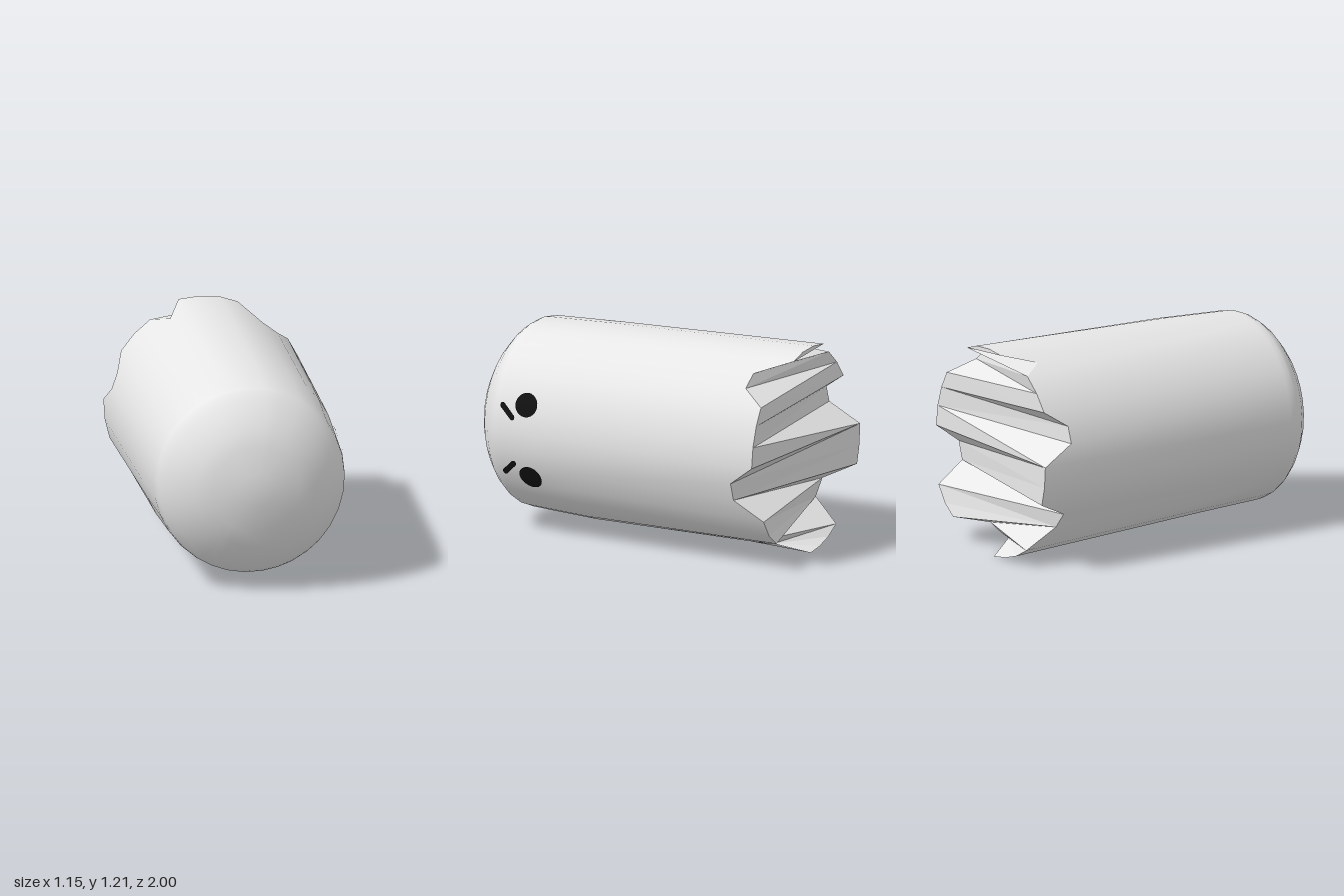
import * as THREE from 'three';

const CY = 0.615; // height of the body axis, which runs along z

// Ragged hem, counter-clockwise from the model's left: [angle in degrees, radius, z]
const HEM = [
  [1, 0.575, -0.945], [13, 0.575, -0.945], [25, 0.577, -0.945], [36, 0.58, -0.945],
  [47, 0.57, -0.8], [58, 0.57, -0.8],
  [71, 0.587, -1], [81, 0.594, -1], [93, 0.596, -1], [104, 0.6, -1],
  [113, 0.572, -0.8],
  [123, 0.582, -0.935], [135, 0.578, -0.935], [147, 0.575, -0.935],
  [157, 0.57, -0.8], [167, 0.572, -0.8],
  [178, 0.575, -0.99], [190, 0.575, -0.99], [201, 0.578, -0.99],
  [212, 0.565, -0.8], [224, 0.562, -0.8],
  [236, 0.622, -0.965], [246, 0.622, -0.968], [256, 0.618, -0.972], [266, 0.616, -0.975],
  [277, 0.562, -0.8], [287, 0.56, -0.8], [296, 0.562, -0.8],
  [307, 0.59, -0.98], [317, 0.598, -0.98], [328, 0.59, -0.98],
  [339, 0.565, -0.8], [350, 0.57, -0.8],
];

// Rounded nose and upper body: [z, radius]
const PROFILE = [
  [1, 0], [0.995, 0.1], [0.968, 0.25], [0.93, 0.34], [0.88, 0.42], [0.82, 0.49],
  [0.775, 0.525], [0.75, 0.537], [0.71, 0.543], [0.3, 0.561],
];

const N = HEM.length;

function bufferGeometry(positions, index) {
  const g = new THREE.BufferGeometry();
  g.setAttribute('position', new THREE.Float32BufferAttribute(positions, 3));
  g.setIndex(index);
  return g;
}

const polar = (deg, r, z, dx = 0) => {
  const a = THREE.MathUtils.degToRad(deg);
  return [dx + r * Math.cos(a), CY + r * Math.sin(a), z];
};

// Smooth outer skin: profile rings, then the ragged hem ring
function skinGeometry() {
  const pos = [], index = [];
  PROFILE.forEach(([z, r]) => HEM.forEach(([a]) => pos.push(...polar(a, r, z, z > 0.5 ? -0.005 : 0))));
  HEM.forEach(([a, r, z]) => pos.push(...polar(a, r, z)));
  for (let i = 0; i < PROFILE.length; i++) {
    for (let j = 0; j < N; j++) {
      const k = (j + 1) % N;
      const a = i * N + j, b = a + N, c = (i + 1) * N + k, d = i * N + k;
      index.push(a, b, c);
      if (i > 0) index.push(a, c, d);
    }
  }
  const g = bufferGeometry(pos, index);
  g.computeVertexNormals();
  // share one normal at the nose tip
  for (let j = 0; j < N; j++) g.attributes.normal.setXYZ(j, 0, 0, 1);
  return g;
}

// Closed underside: strips zipped between the two sides of the hem, from top to bottom
function undersideGeometry() {
  const points = HEM.map(([a, r, z]) => polar(a, r, z));
  const top = HEM.findIndex(h => h[0] === 93), bottom = HEM.findIndex(h => h[0] === 266);
  const sideA = [], sideB = [], index = [];
  for (let i = top; ; i = (i + N - 1) % N) { sideA.push(i); if (i === bottom) break; }
  for (let i = top; i <= bottom; i++) sideB.push(i);
  let a = 0, b = 0;
  while (a < sideA.length - 1 || b < sideB.length - 1) {
    const nextA = a < sideA.length - 1 ? points[sideA[a + 1]][1] : -Infinity;
    const nextB = b < sideB.length - 1 ? points[sideB[b + 1]][1] : -Infinity;
    const tri = nextA >= nextB
      ? [sideA[a], sideA[++a], sideB[b]]
      : [sideA[a], sideB[b + 1], sideB[b++]];
    if (new Set(tri).size === 3) index.push(...tri);
  }
  const g = bufferGeometry(points.flat(), index).toNonIndexed();
  g.computeVertexNormals();
  return g;
}

function radiusAt(z) {
  for (let i = 1; i < PROFILE.length; i++) {
    const [z0, r0] = PROFILE[i - 1], [z1, r1] = PROFILE[i];
    if (z >= z1) return r0 + (r1 - r0) * (z - z0) / (z1 - z0);
  }
  return 0.561;
}

// Wrap a flat outline (x, y) onto the +x side of the body around (z, y)
function wrapOnSide(g, z0, y0) {
  const p = g.attributes.position;
  for (let i = 0; i < p.count; i++) {
    const z = z0 - p.getX(i), y = y0 + p.getY(i);
    const r = radiusAt(z) + 0.004;
    p.setXYZ(i, Math.sqrt(r * r - (y - CY) ** 2), y, z);
  }
  g.computeVertexNormals();
  return g;
}

function browGeometry(tilt) {
  const h = 0.046, r = 0.016, s = new THREE.Shape();
  s.absarc(h, 0, r, -Math.PI / 2, Math.PI / 2, false);
  s.absarc(-h, 0, r, Math.PI / 2, Math.PI * 1.5, false);
  return new THREE.ShapeGeometry(s, 6).rotateZ(tilt);
}

export function createModel() {
  const cloth = new THREE.MeshStandardMaterial({ color: 0xe7e7e7 });
  cloth.name = 'paleCloth';
  const black = new THREE.MeshStandardMaterial({ color: 0x111111 });
  black.name = 'black';

  const model = new THREE.Group();
  model.name = 'lyingGhost';
  const add = (name, geometry, material) => {
    const mesh = new THREE.Mesh(geometry, material);
    mesh.name = name;
    model.add(mesh);
  };

  add('body', skinGeometry(), cloth);
  add('underside', undersideGeometry(), cloth);

  // Face on the +x side: one eye and slanted brow above, one below
  const eye = () => new THREE.CircleGeometry(0.068, 24).scale(1.06, 0.97, 1);
  add('upperEye', wrapOnSide(eye(), 0.545, 0.79), black);
  add('lowerEye', wrapOnSide(eye(), 0.535, 0.365), black);
  add('upperBrow', wrapOnSide(browGeometry(-0.72), 0.664, 0.742), black);
  add('lowerBrow', wrapOnSide(browGeometry(0.72), 0.664, 0.41), black);
  return model;
}
